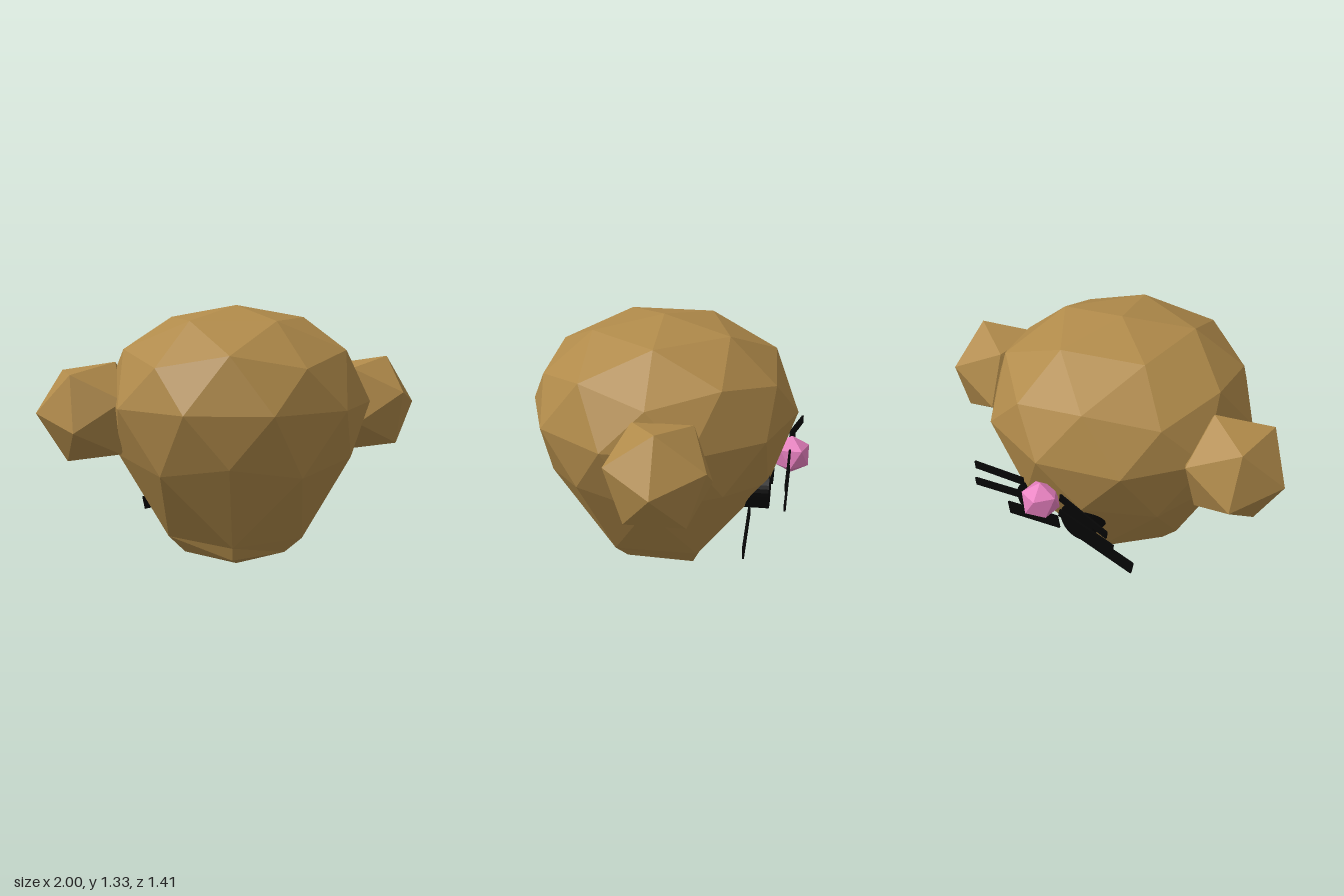
import * as THREE from 'three';

const material = (color) => new THREE.MeshStandardMaterial({ color, flatShading: true });

// A named mesh at a position
function part(name, geometry, mat, x, y, z) {
  const mesh = new THREE.Mesh(geometry, mat);
  mesh.name = name;
  mesh.position.set(x, y, z);
  return mesh;
}

// Low-poly head: rings of a subdivided icosahedron with a tapering lower half
function headGeometry() {
  const R = 0.675, cz = 0.03;
  const ring = (count, start, radius, y) => Array.from({ length: count }, (_, i) => {
    const a = THREE.MathUtils.degToRad(start + (i * 360) / count);
    return [R * radius * Math.cos(a), y, cz - R * radius * Math.sin(a)];
  });
  const top = [0, 1.33, cz], tip = [0, 0, cz];
  const A = ring(5, 0, 0.526, 1.265);
  const B = ring(5, 0, 0.894, 1.055);
  const M = ring(5, 36, 0.851, 1.12);
  const E = ring(10, 18, 1, 0.85);
  const C = ring(5, 36, 0.894, 0.595);
  const N = ring(5, 0, 0.851, 0.535);
  const D = ring(5, 36, 0.526, 0.165);
  // Uneven ring around the narrow tip
  const F = [[0.14, 0.035, -0.14], [-0.08, 0.105, -0.22], [-0.27, 0.08, 0.03],
    [-0.1, 0.095, 0.33], [0.21, 0.085, 0.19]];

  const points = [];
  const tri = (a, b, c) => points.push(...a, ...b, ...c);
  for (let k = 0; k < 5; k++) {
    const n = (k + 1) % 5;
    const e0 = E[2 * k], e1 = E[2 * k + 1], e2 = E[(2 * k + 2) % 10];
    // Crown
    tri(top, A[k], A[n]);
    tri(A[k], B[k], M[k]);
    tri(A[n], M[k], B[n]);
    tri(A[k], M[k], A[n]);
    // Middle band
    tri(B[k], e0, M[k]);
    tri(M[k], e1, B[n]);
    tri(e0, C[k], e1);
    tri(M[k], e0, e1);
    tri(B[n], e1, e2);
    tri(e1, C[k], N[n]);
    tri(e2, N[n], C[n]);
    tri(e1, N[n], e2);
    // Taper
    tri(C[k], D[k], N[n]);
    tri(N[n], D[n], C[n]);
    tri(D[k], D[n], N[n]);
    // Tip
    tri(D[k], F[k], F[n]);
    tri(D[k], F[n], D[n]);
    tri(F[k], tip, F[n]);
  }
  const geometry = new THREE.BufferGeometry();
  geometry.setAttribute('position', new THREE.Float32BufferAttribute(points, 3));
  geometry.computeVertexNormals();
  return geometry;
}

// Icosahedron with one corner pointing along +x
function icosahedron(radius) {
  return new THREE.IcosahedronGeometry(radius, 0).rotateZ(-Math.atan((1 + Math.sqrt(5)) / 2));
}

// Thin flat bar running between two points
function bar(name, from, to, height, mat) {
  const a = new THREE.Vector3(...from), b = new THREE.Vector3(...to);
  const mid = a.clone().add(b).multiplyScalar(0.5);
  const mesh = part(name, new THREE.BoxGeometry(a.distanceTo(b), height, 0.01), mat, mid.x, mid.y, mid.z);
  mesh.quaternion.setFromUnitVectors(new THREE.Vector3(Math.sign(b.x - a.x), 0, 0), b.sub(a).normalize());
  return mesh;
}

export function createModel() {
  const group = new THREE.Group();
  const fur = material(0xb08a4a);
  const pink = material(0xe880c0);
  const black = material(0x050505);

  group.add(part('head', headGeometry(), fur, 0, 0, 0));
  group.add(part('nose', icosahedron(0.1).rotateZ(-Math.PI / 2), pink, 0, 0.62, -0.62));

  for (const s of [1, -1]) {
    const side = s > 0 ? 'left' : 'right';
    group.add(part(side + 'Ear', icosahedron(0.275), fur, s * 0.725, 0.805, -0.055));

    // Round flat eye set into the face
    const eye = new THREE.CylinderGeometry(0.1, 0.1, 0.2, 32).rotateX(Math.PI / 2);
    group.add(part(side + 'Eye', eye, black, s * 0.14, 0.485, -0.425));

    group.add(bar(side + 'Brow', [s * 0.065, 0.315, -0.42], [s * 0.4, 0.25, -0.42], 0.07, black));

    // One whisker on the right is bent away from the face
    const bend = s < 0 ? 0.04 : 0;
    group.add(bar(side + 'UpperWhisker', [s * 0.11, 0.675, -0.615 + bend * 0.25],
      [s * 0.425, 0.635, -0.615 - bend], 0.04, black));
    group.add(bar(side + 'LowerWhisker', [s * 0.11, 0.59, -0.615], [s * 0.43, 0.53, -0.615], 0.04, black));
  }
  return group;
}
